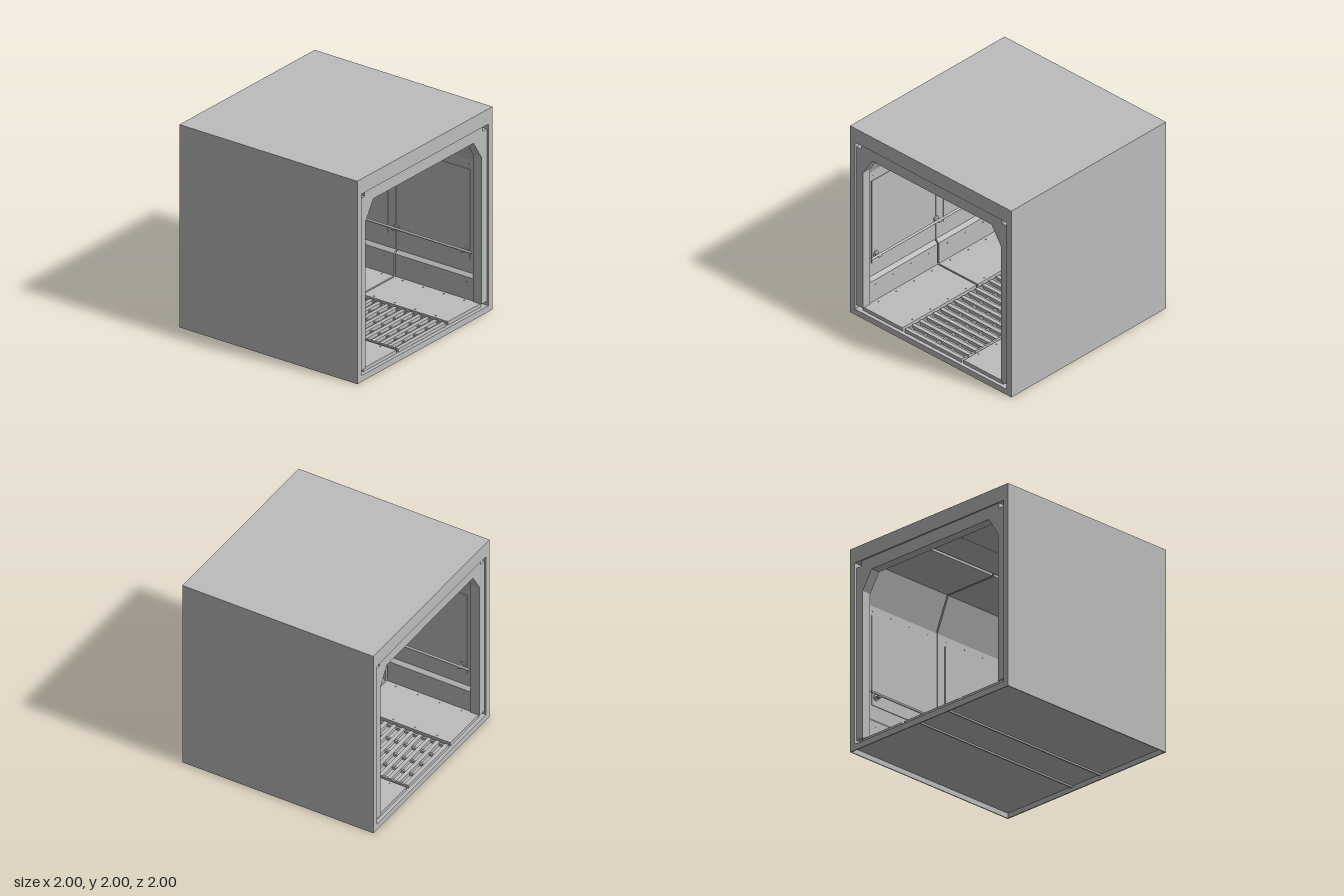
import * as THREE from 'three';

const grey = new THREE.MeshStandardMaterial({ color: 0xbcbcbc });
grey.name = 'panel grey';

export function createModel() {
  const root = new THREE.Group();
  root.name = 'corridorSection';

  const add = (name, geo, x = 0, y = 0, z = 0) => {
    const m = new THREE.Mesh(geo, grey);
    m.name = name;
    m.position.set(x, y, z);
    root.add(m);
    return m;
  };
  // Box from its minimum and maximum corners
  const box = (name, x0, x1, y0, y1, z0, z1) =>
    add(name, new THREE.BoxGeometry(Math.abs(x1 - x0), y1 - y0, Math.abs(z1 - z0)),
      (x0 + x1) / 2, (y0 + y1) / 2, (z0 + z1) / 2);
  const outline = (pts, s = 1) => new THREE.Shape(pts.map(([x, y]) => new THREE.Vector2(x * s, y)));
  const rect = (x, y0, y1) => [[-x, y0], [x, y0], [x, y1], [-x, y1]];
  // Extrude an x-y outline from z0 to z1
  const prism = (name, shape, z0, z1) =>
    add(name, new THREE.ExtrudeGeometry(shape, { depth: z1 - z0, bevelEnabled: false }), 0, 0, z0);

  // Outer shell: square tube with a recessed underside
  const shell = outline(rect(1, 0.05, 2));
  shell.holes.push(outline(rect(0.94, 0.06, 1.85)));
  prism('outerShell', shell, -1, 1);
  for (const s of [-1, 1]) {
    box('sideSkirt', s * 0.99, s, 0, 0.05, -1, 1);
    box('endSkirt', -0.99, 0.99, 0, 0.05, s * 0.99, s);
    box('undersideRib', s * 0.18 - 0.008, s * 0.18 + 0.008, 0.035, 0.05, -0.99, 0.99);
  }

  // End portals with chamfered top corners and notched outer corners
  const half = [[0.855, 0.1], [0.935, 0.1], [0.935, 1.8], [0.87, 1.8], [0.87, 1.85]];
  const inner = [[0.74, 1.73], [0.855, 1.55]];
  const flip = (pts) => pts.map(([x, y]) => [-x, y]).reverse();
  const portal = outline([...half, ...flip(half), ...flip(inner), ...inner]);
  prism('frontPortal', portal, 0.89, 0.985);
  prism('backPortal', portal, -0.985, -0.89);

  // Walls, ceiling and floor: one bay for each side and each end
  const wall = [[0.935, 0.1], [0.865, 0.1], [0.865, 0.32], [0.9, 0.35], [0.9, 1.47],
    [0.76, 1.8], [0.935, 1.8]];
  const bolt = new THREE.CylinderGeometry(0.006, 0.006, 0.008, 8);
  for (const s of [-1, 1]) {
    for (const e of [-1, 1]) {
      const [z0, z1] = e > 0 ? [0.008, 0.97] : [-0.97, -0.008];
      prism('wallPanel', outline(wall, s), z0, z1);
      box('wallInset', s * 0.893, s * 0.9, 0.49, 1.37, e * 0.1, e * 0.83);
      box('floorPanel', s * 0.38, s * 0.87, 0.065, 0.1, z0, z1);
      box('ceilingPanel', s * 0.185, s * 0.775, 1.8, 1.848, z0, z1);
      // Bolts along the floor edges and the wall
      for (let i = 0; i < 4; i++) {
        const z = e * (0.12 + i * 0.23);
        add('floorBolt', bolt, s * 0.41, 0.102, z);
        add('floorBolt', bolt, s * 0.83, 0.102, z);
        add('lowerWallBolt', bolt, s * 0.865, 0.27, z).rotation.z = Math.PI / 2;
        add('upperWallBolt', bolt, s * 0.9, 1.42, z).rotation.z = Math.PI / 2;
      }
    }

    // Seam strip between wall bays
    box('wallSeam', s * 0.905, s * 0.935, 0.1, 1.8, -0.008, 0.008);

    // Handrail with brackets
    const rail = add('handrail', new THREE.CylinderGeometry(0.012, 0.012, 1.78, 12), s * 0.842, 0.585, 0);
    rail.rotation.x = Math.PI / 2;
    for (const z of [-0.78, 0, 0.78]) {
      box('railBracket', s * 0.836, s * 0.9, 0.56, 0.576, z - 0.015, z + 0.015);
      add('railFlange', new THREE.CylinderGeometry(0.03, 0.03, 0.012, 16), s * 0.89, 0.575, z)
        .rotation.z = Math.PI / 2;
    }
  }

  // Recessed centre strip of the ceiling
  box('ceilingStrip', -0.172, 0.172, 1.815, 1.848, -0.97, 0.97);

  // Floor grating: runners along the tunnel, bars across it
  for (const x of [-0.338, -0.17, 0, 0.17, 0.338])
    box('gratingRunner', x - 0.01, x + 0.01, 0.063, 0.09, -0.97, 0.97);
  const bars = 22;
  for (let i = 0; i < bars; i++) {
    const z = -0.95 + (1.9 * i) / (bars - 1);
    box('gratingBar', -0.35, 0.35, 0.066, 0.1, z - 0.02, z + 0.02);
  }
  return root;
}
